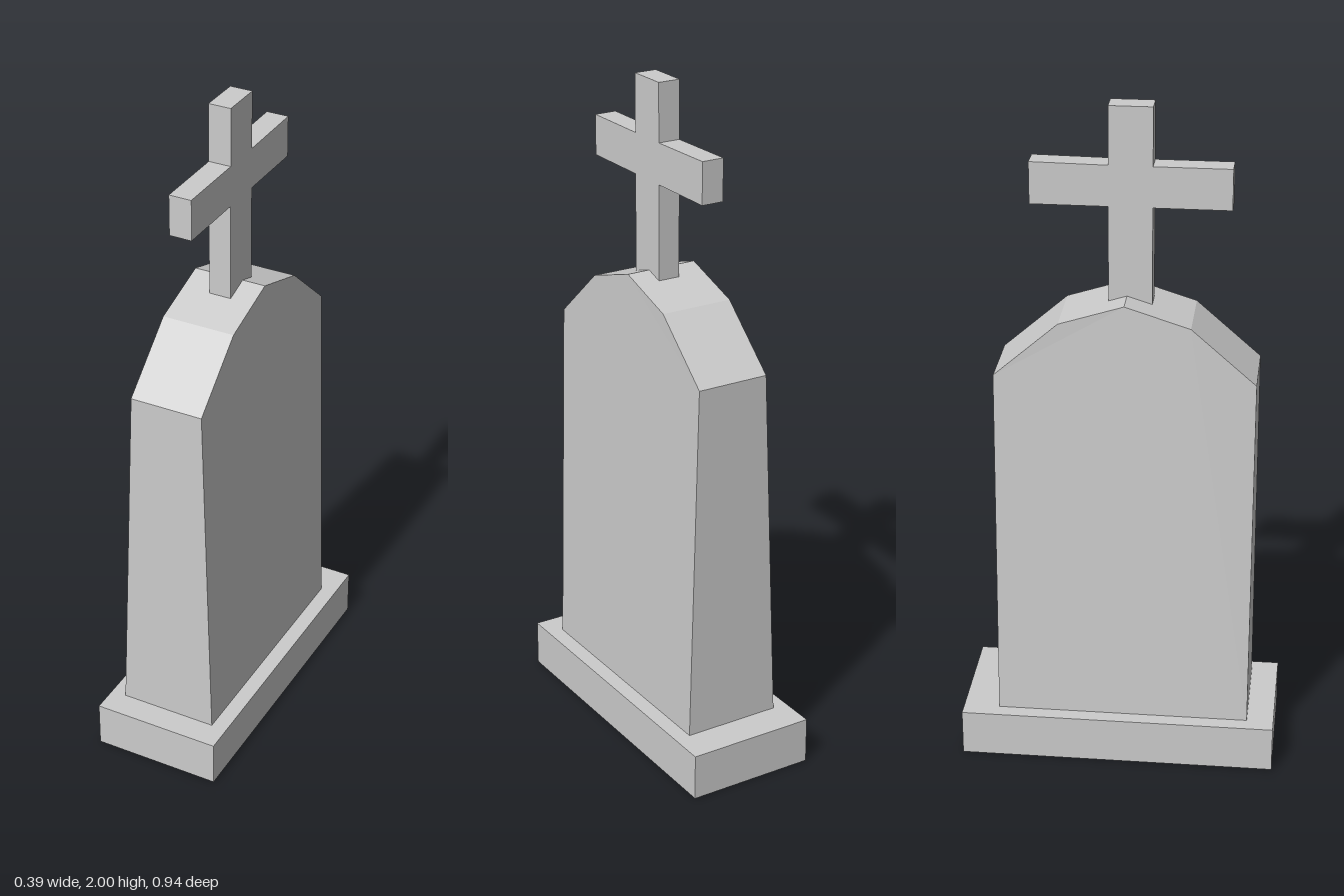
import * as THREE from 'three';

const material = new THREE.MeshStandardMaterial({ color: 0xcccccc, flatShading: true });

// Extrudes a [z, y] outline along x, from x0 to x1
function slab(name, outline, x0, x1) {
  const shape = new THREE.Shape(outline.map(([z, y]) => new THREE.Vector2(-z, y)));
  const geometry = new THREE.ExtrudeGeometry(shape, { depth: x1 - x0, bevelEnabled: false });
  geometry.rotateY(Math.PI / 2).translate(x0, 0, 0);
  const mesh = new THREE.Mesh(geometry, material);
  mesh.name = name;
  return mesh;
}

export function createModel() {
  const group = new THREE.Group();
  group.name = 'gravestone';

  // Plinth
  const plinth = new THREE.Mesh(new THREE.BoxGeometry(0.39, 0.14, 0.94), material);
  plinth.name = 'plinth';
  plinth.position.y = 0.07;
  group.add(plinth);

  // Headstone with a faceted arched top
  const headstone = slab('headstone', [
    [0.39, 0.14], [-0.363, 0.14], [-0.363, 1.22], [-0.175, 1.385],
    [0.013, 1.445], [0.202, 1.385], [0.39, 1.22],
  ], -0.1, 0.12);
  // Widen the foot so the faces taper upwards
  const p = headstone.geometry.attributes.position;
  for (let i = 0; i < p.count; i++) {
    if (p.getY(i) < 0.2) p.setX(i, p.getX(i) < 0 ? -0.149 : 0.147);
  }
  headstone.geometry.computeVertexNormals();
  group.add(headstone);

  // Cross on top, slightly sunk into the headstone
  group.add(slab('cross', [
    [0.085, 1.42], [-0.04, 1.42], [-0.04, 1.71], [-0.262, 1.71],
    [-0.262, 1.833], [-0.04, 1.83], [-0.04, 2], [0.085, 2],
    [0.085, 1.83], [0.307, 1.83], [0.307, 1.71], [0.085, 1.71],
  ], -0.017, 0.05));

  return group;
}
